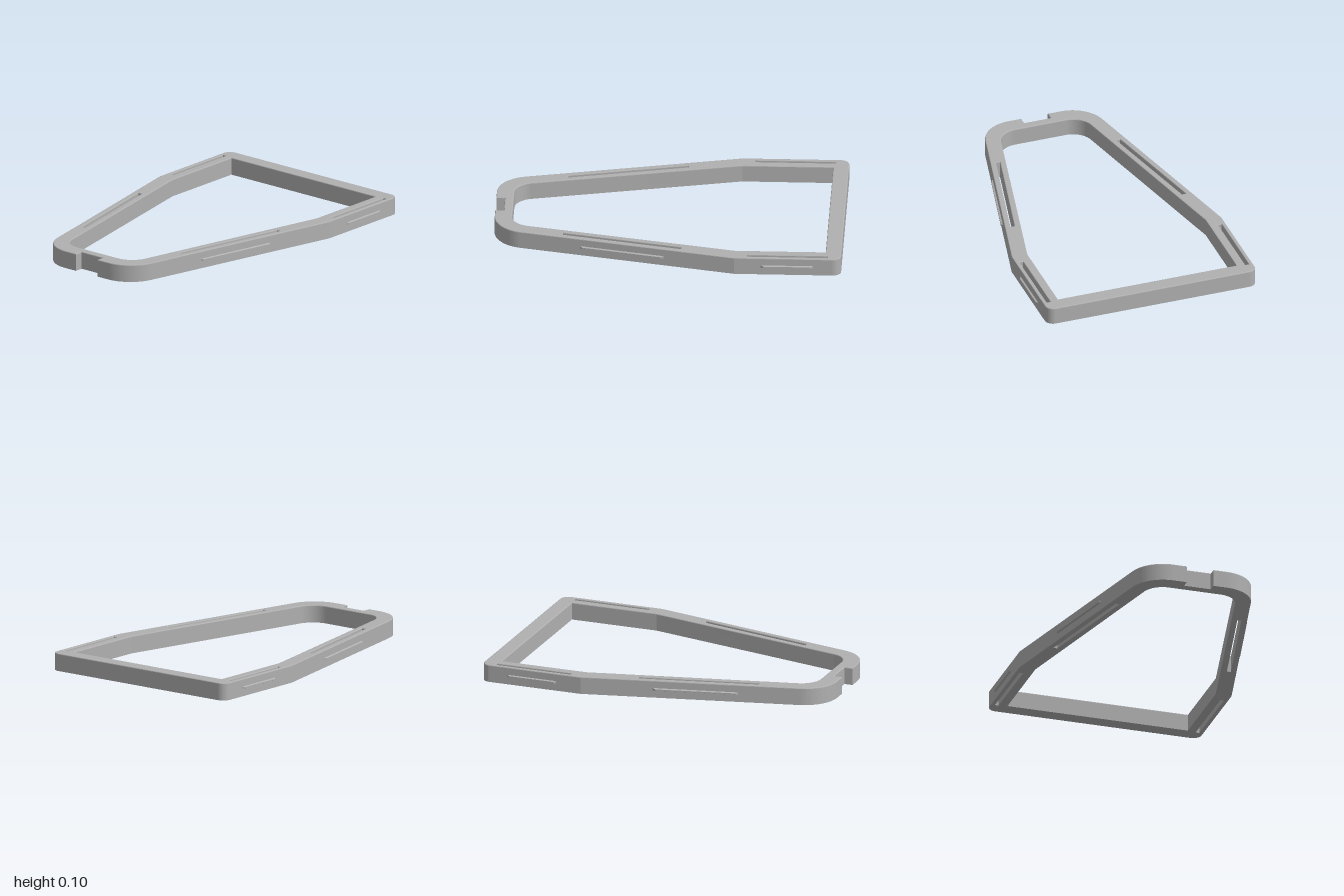
import * as THREE from 'three';
import { toCreasedNormals } from 'three/addons/utils/BufferGeometryUtils.js';

const HEIGHT = 0.102, BEVEL = 0.005, TILT = 0.227; // TILT: slant of the tapering sides

// Plan shapes are drawn in (x, -z)
function frameShape() {
  const s = new THREE.Shape();
  // front edge with its notch
  s.moveTo(-0.16, -1);
  [[-0.08, -1], [-0.08, -0.95], [0.08, -0.95], [0.08, -1]].forEach(p => s.lineTo(...p));
  // right half, rounded back corners, left half
  s.absarc(0.16, -0.8, 0.2, -Math.PI / 2, -TILT, false);
  s.lineTo(0.637, 0.39);
  s.absarc(0.587, 0.95, 0.05, 0, Math.PI / 2, false);
  s.absarc(-0.587, 0.95, 0.05, Math.PI / 2, Math.PI, false);
  s.lineTo(-0.637, 0.39);
  s.absarc(-0.16, -0.8, 0.2, Math.PI + TILT, Math.PI * 1.5, false);

  // large central opening
  const inner = new THREE.Path();
  inner.moveTo(0.155, -0.9);
  inner.absarc(0.155, -0.78, 0.12, -Math.PI / 2, -TILT, false);
  [[0.542, 0.39], [0.542, 0.91], [-0.542, 0.91], [-0.542, 0.39]].forEach(p => inner.lineTo(...p));
  inner.absarc(-0.155, -0.78, 0.12, Math.PI + TILT, Math.PI * 1.5, false);
  inner.closePath();
  s.holes.push(inner);

  // strap slots through the side rails
  for (const m of [1, -1]) {
    for (const slot of [
      [[0.592, 0.46], [0.614, 0.46], [0.614, 0.92], [0.592, 0.92]],
      [[0.353, -0.6], [0.377, -0.6], [0.533, 0.08], [0.509, 0.08]],
    ]) {
      s.holes.push(new THREE.Path(slot.map(([x, y]) => new THREE.Vector2(m * x, y))));
    }
  }
  return s;
}

// Walls and softened top edge; the underside bevel is dropped for a flat base
function frameGeometry(shape) {
  const src = new THREE.ExtrudeGeometry(shape, {
    depth: HEIGHT - BEVEL, curveSegments: 14, bevelEnabled: true,
    bevelSize: BEVEL, bevelThickness: BEVEL, bevelOffset: -BEVEL, bevelSegments: 2,
  });
  const p = src.attributes.position, kept = [];
  for (let i = 0; i < p.count; i += 3) {
    if (Math.min(p.getZ(i), p.getZ(i + 1), p.getZ(i + 2)) < -1e-5) continue;
    for (let j = i; j < i + 3; j++) kept.push(p.getX(j), p.getY(j), p.getZ(j));
  }
  const g = new THREE.BufferGeometry();
  g.setAttribute('position', new THREE.Float32BufferAttribute(kept, 3));
  g.rotateX(-Math.PI / 2);
  return toCreasedNormals(g, 0.21);
}

// Long grip ridge whose outer (+x) face is narrowed to a thin crest
function ridgeGeometry(length) {
  const g = new THREE.BoxGeometry(0.024, 0.026, length).toNonIndexed();
  const p = g.attributes.position;
  for (let i = 0; i < p.count; i++) {
    if (p.getX(i) < 0) continue;
    p.setY(i, p.getY(i) * 0.3);
    p.setZ(i, Math.sign(p.getZ(i)) * (length / 2 - 0.035));
  }
  g.computeVertexNormals();
  return g;
}

export function createModel() {
  const model = new THREE.Group();
  model.name = 'taperedFrame';
  const grey = new THREE.MeshStandardMaterial({ color: 0xb0b0b0 });
  grey.name = 'grey';

  const add = (name, geometry) => {
    const mesh = new THREE.Mesh(geometry, grey);
    mesh.name = name;
    model.add(mesh);
    return mesh;
  };

  const shape = frameShape();
  add('frame', frameGeometry(shape));
  add('frameUnderside', new THREE.ShapeGeometry(shape, 14).scale(1, -1, 1).rotateX(Math.PI / 2)
    .setIndex(flipped(shape)));

  // grip ridges on the outer side walls
  for (const [label, x, z, length, tilt] of [
    ['rear', 0.635, -0.69, 0.34, 0],
    ['front', 0.487, 0.26, 0.534, TILT],
  ]) {
    for (const m of [1, -1]) {
      const ridge = add(`${label}Ridge${m > 0 ? 'Left' : 'Right'}`, ridgeGeometry(length));
      ridge.position.set(m * x, 0.05, z);
      ridge.rotation.y = m > 0 ? -tilt : Math.PI + tilt;
    }
  }
  return model;
}

// Reversed face order so the base faces down
function flipped(shape) {
  return Array.from(new THREE.ShapeGeometry(shape, 14).index.array).reverse();
}
